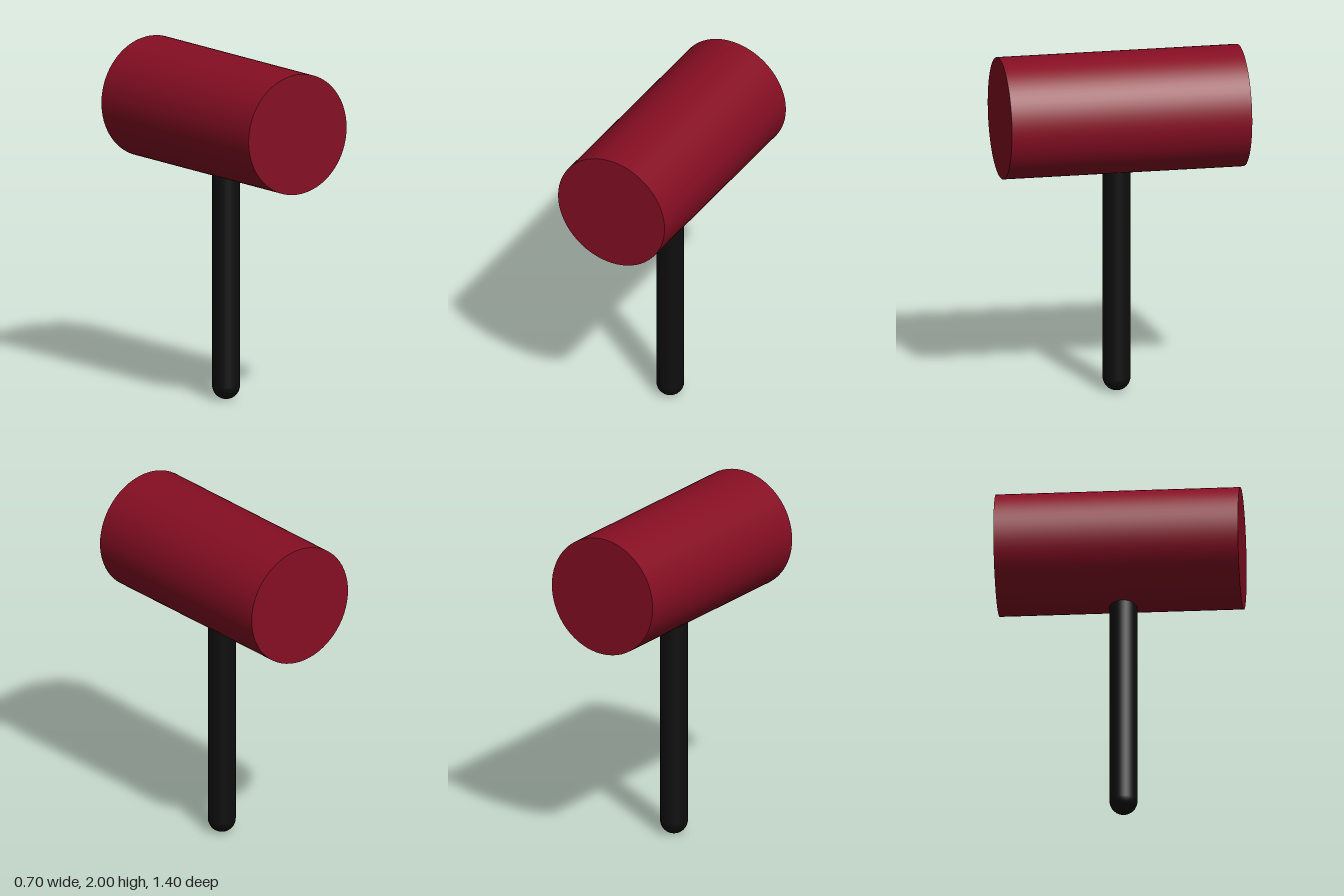
import * as THREE from 'three';

export function createModel() {
  const model = new THREE.Group();
  model.name = 'mallet';

  const red = new THREE.MeshStandardMaterial({ color: 0x860e23 });
  red.name = 'dark red';
  const black = new THREE.MeshStandardMaterial({ color: 0x0e0e0e });
  black.name = 'black';

  // Head: a round barrel lying front to back
  const headRadius = 0.35, headLength = 1.4;
  const headY = 2 - headRadius;
  const head = new THREE.Mesh(
    new THREE.CylinderGeometry(headRadius, headRadius, headLength, 64).rotateX(Math.PI / 2), red);
  head.name = 'head';
  head.position.y = headY;

  // Handle: a round-ended rod reaching into the head, slightly forward of centre
  const handleRadius = 0.08, handleTop = 1.5;
  const handle = new THREE.Mesh(
    new THREE.CapsuleGeometry(handleRadius, handleTop - 2 * handleRadius, 12, 32), black);
  handle.name = 'handle';
  handle.position.set(0, handleTop / 2, 0.02);

  model.add(head, handle);
  return model;
}
